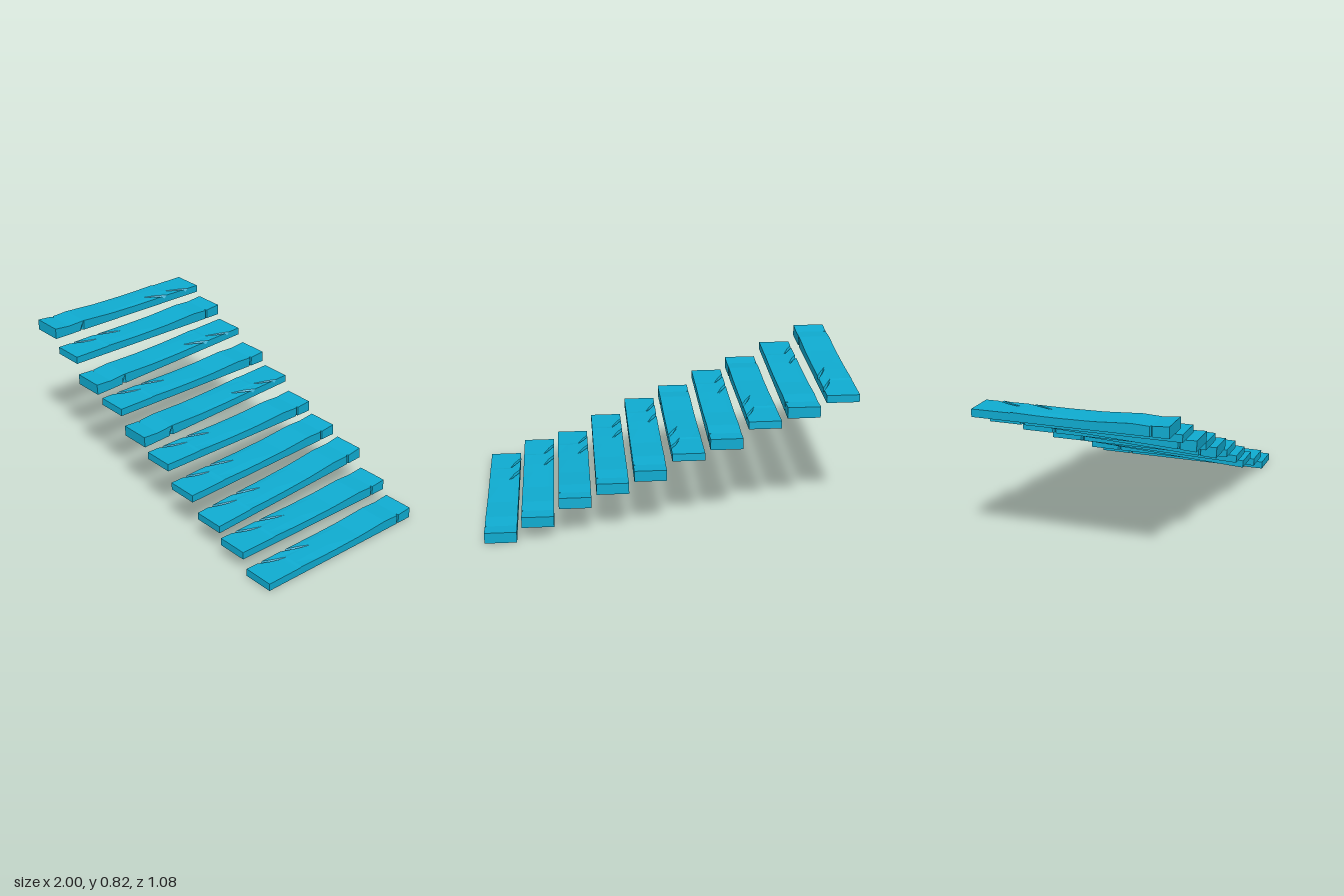
import * as THREE from 'three';

const WIDTH = 0.175;
// Stations along a plank and columns across it (measured from its -x edge)
const STATIONS = [-0.525, -0.436, -0.43, -0.424, -0.352, -0.34, -0.328, -0.23, -0.13, 0.06,
  0.2, 0.25, 0.27, 0.29, 0.42, 0.437, 0.455, 0.527];
const COLUMNS = [0, 0.03, 0.06, 0.12, WIDTH];
// Height of the worn tread along z
const PROFILE = [[-0.525, 0.062], [-0.43, 0.053], [-0.33, 0.058], [-0.13, 0.046],
  [0.29, 0.048], [0.32, 0.043], [0.527, 0.042]];

function treadHeight(z) {
  for (let i = 1; i < PROFILE.length; i++) {
    const [z0, h0] = PROFILE[i - 1], [z1, h1] = PROFILE[i];
    if (z <= z1) return THREE.MathUtils.mapLinear(z, z0, z1, h0, h1);
  }
  return PROFILE[PROFILE.length - 1][1];
}

// A box whose grid is moved into a worn plank with gouges and notches
function plankGeometry() {
  const nx = COLUMNS.length - 1, nz = STATIONS.length - 1;
  const geometry = new THREE.BoxGeometry(1, 1, 1, nx, 1, nz);
  const p = geometry.attributes.position;
  for (let i = 0; i < p.count; i++) {
    const c = Math.round((p.getX(i) + 0.5) * nx);
    const station = STATIONS[Math.round((p.getZ(i) + 0.5) * nz)];
    const top = p.getY(i) > 0;
    let x = COLUMNS[c], y = 0, z = station;

    if (top) {
      // Slanted gouges running in from the -x edge
      if (station >= 0.2 && station < 0.5) z -= 2 * Math.min(x, 0.06);
      y = treadHeight(z);
      if ((c === 0 || c === nx) && z > -0.1 && z < 0.3) y -= 0.004;
      if (station === 0.27 || station === 0.437) y -= [0.018, 0.01, 0, 0, 0][c];
    }
    // Upright slit on the +x side, small chip under the -x side
    if (c === nx && station === -0.43) x -= 0.015;
    if (c === 0 && station === -0.34 && !top) x += 0.015;
    p.setXYZ(i, x - WIDTH / 2, y, z);
  }
  geometry.computeVertexNormals();
  return geometry;
}

export function createModel() {
  const model = new THREE.Group();
  model.name = 'plankStairs';
  const material = new THREE.MeshStandardMaterial({ color: 0x0fabd0, flatShading: true });
  const geometry = plankGeometry();

  // Each step from the top down: base height, tilt, z shift, turned end for end
  const steps = [
    [0.763, 0, 0, true], [0.68, 0, 0, false], [0.593, 0.051, 0.012, true],
    [0.511, 0, 0, false], [0.426, 0.051, 0, true], [0.34, 0, 0, false],
    [0.255, 0.029, 0, false], [0.17, 0.056, -0.014, false],
    [0.087, 0, 0, false], [0, 0, 0, false],
  ];
  steps.forEach(([y, tilt, z, turned], i) => {
    const plank = new THREE.Mesh(geometry, material);
    plank.name = `plank${i + 1}`;
    plank.position.set(-0.9125 + i * 1.825 / 9, y, z);
    plank.rotation.set(tilt, turned ? Math.PI : 0, 0);
    model.add(plank);
  });
  return model;
}
